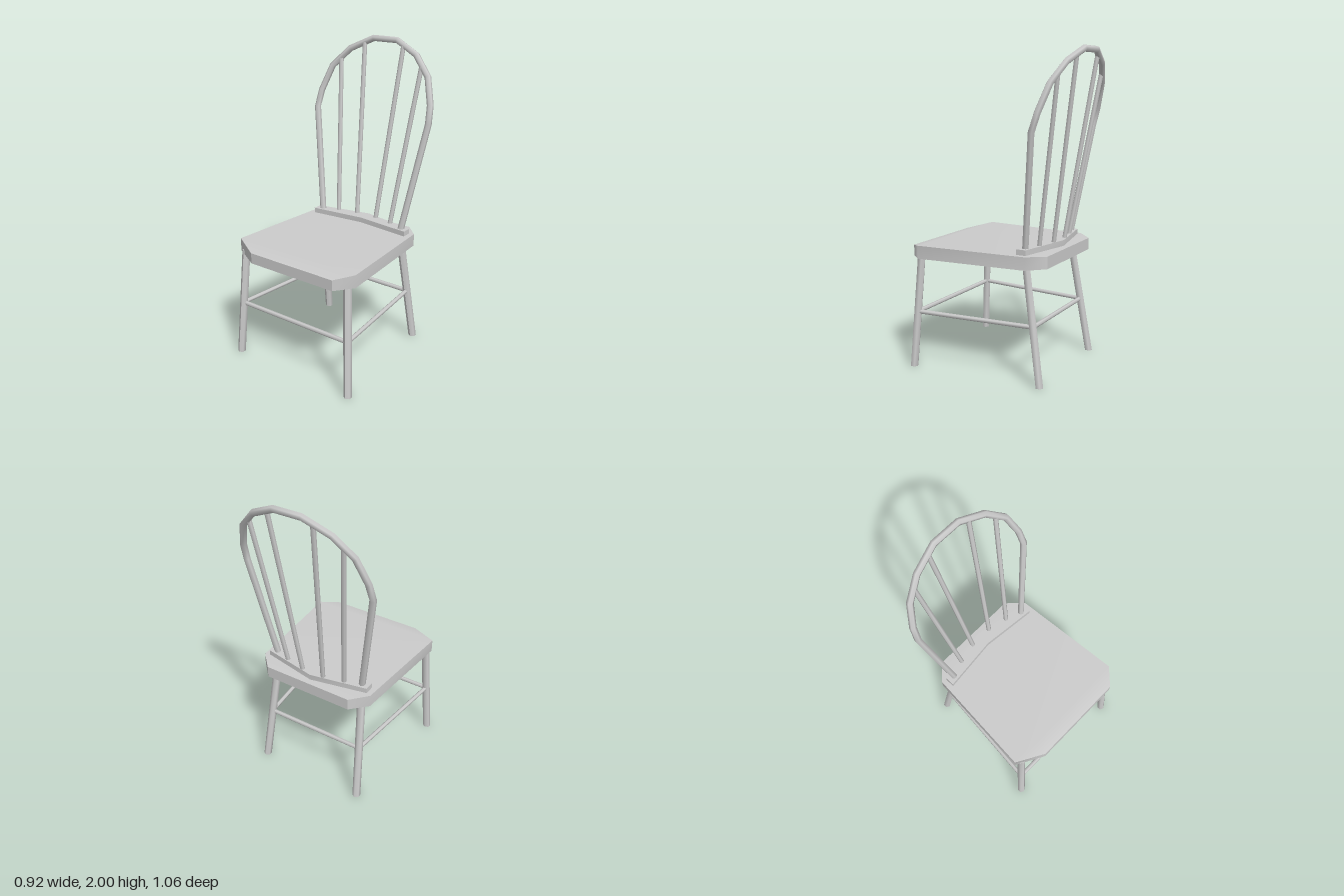
import * as THREE from 'three';

const material = new THREE.MeshStandardMaterial({ color: 0xcccccc });
const V = (x, y, z) => new THREE.Vector3(x, y, z);

// Polyline curve: one tube ring per point, mitred at the corners
class Polyline extends THREE.Curve {
  constructor(points) {
    super();
    this.points = points;
  }
  getPoint(t, target = new THREE.Vector3()) {
    const s = t * (this.points.length - 1);
    const i = Math.min(Math.floor(s), this.points.length - 2);
    return target.lerpVectors(this.points[i], this.points[i + 1], s - i);
  }
  getUtoTmapping(u) {
    return u;
  }
}

export function createModel() {
  const chair = new THREE.Group();
  chair.name = 'spindleBackChair';

  const add = (name, geometry) => {
    const mesh = new THREE.Mesh(geometry, material);
    mesh.name = name;
    chair.add(mesh);
    return mesh;
  };

  // Straight rod between two points, square to its axis
  const rod = (name, a, b, radius) => {
    const dir = b.clone().sub(a);
    const mesh = add(name, new THREE.CylinderGeometry(radius, radius, dir.length(), 6));
    mesh.position.copy(a).lerp(b, 0.5);
    mesh.quaternion.setFromUnitVectors(V(0, 1, 0), dir.normalize());
  };

  // Leaning leg whose ends stay level with the floor
  const leg = (name, foot, top) => {
    const height = top.y - foot.y;
    const geometry = new THREE.CylinderGeometry(0.026, 0.026, height, 6);
    geometry.translate(0, height / 2, 0);
    geometry.applyMatrix4(new THREE.Matrix4().makeShear(
      0, 0, (top.x - foot.x) / height, (top.z - foot.z) / height, 0, 0));
    geometry.computeVertexNormals();
    geometry.translate(foot.x, foot.y, foot.z);
    add(name, geometry);
  };

  // Seat: slab whose outline follows stations from back to front
  const stations = [
    { z: -0.39, left: 0.3, right: -0.3, top: 0.785, bottom: 0.71 },
    { z: -0.29, left: 0.397, right: -0.397, top: 0.79, bottom: 0.71 },
    { z: 0.43, left: 0.45, right: -0.45, top: 0.79, bottom: 0.708 },
    { z: 0.528, left: 0.355, right: -0.27, top: 0.768, bottom: 0.7 },
  ];
  const seat = new THREE.BoxGeometry(1, 1, 3, 1, 1, 3);
  const sp = seat.attributes.position;
  for (let i = 0; i < sp.count; i++) {
    const s = stations[Math.round(sp.getZ(i) + 1.5)];
    sp.setXYZ(i, sp.getX(i) > 0 ? s.left : s.right, sp.getY(i) > 0 ? s.top : s.bottom, s.z);
  }
  seat.computeVertexNormals();
  add('seat', seat);

  // Back rail: shallow chevron strip on the seat
  const rail = new THREE.BoxGeometry(0.73, 0.04, 1, 2, 1, 1);
  const rp = rail.attributes.position;
  for (let i = 0; i < rp.count; i++) {
    const middle = Math.abs(rp.getX(i)) < 0.01;
    const front = rp.getZ(i) > 0;
    rp.setZ(i, front ? (middle ? -0.255 : -0.217) : (middle ? -0.352 : -0.28));
  }
  rail.translate(0, 0.803, 0);
  rail.computeVertexNormals();
  add('backRail', rail);

  // Bow: mirrored half path bent into a hoop
  const half = [
    V(0.313, 0.79, -0.25), V(0.433, 1.51, -0.35), V(0.422, 1.62, -0.383),
    V(0.368, 1.782, -0.433), V(0.254, 1.9, -0.478), V(0.09, 1.976, -0.51),
  ];
  const path = [...half, ...half.map((p) => V(-p.x, p.y, p.z)).reverse()];
  add('bow', new THREE.TubeGeometry(new Polyline(path), path.length - 1, 0.021, 6));
  [path[0], path[path.length - 1]].forEach((p) => {
    const cap = add('bowEnd', new THREE.CircleGeometry(0.021, 6));
    cap.position.copy(p);
    cap.rotation.x = Math.PI / 2;
  });

  const feet = {};
  [[1, 'left'], [-1, 'right']].forEach(([s, side]) => {
    // Spindles fanning from rail to bow
    rod(side + 'InnerSpindle', V(s * 0.075, 0.8, -0.318), V(s * 0.148, 1.945, -0.492), 0.015);
    rod(side + 'OuterSpindle', V(s * 0.208, 0.8, -0.288), V(s * 0.31, 1.845, -0.453), 0.015);

    // Splayed legs
    const legs = {
      front: [V(s * 0.438, 0, 0.483), V(s * 0.398, 0.73, 0.437)],
      back: [V(s * 0.363, 0, -0.375), V(s * 0.318, 0.73, -0.258)],
    };
    for (const [end, [foot, top]] of Object.entries(legs)) {
      leg(side + (end === 'front' ? 'FrontLeg' : 'BackLeg'), foot, top);
      feet[end + side] = foot.clone().lerp(top, 0.357 / 0.73);
    }
  });

  // Stretchers joining the four legs in a ring
  rod('frontStretcher', feet.frontleft, feet.frontright, 0.014);
  rod('backStretcher', feet.backleft, feet.backright, 0.014);
  rod('leftStretcher', feet.frontleft, feet.backleft, 0.014);
  rod('rightStretcher', feet.frontright, feet.backright, 0.014);

  return chair;
}
